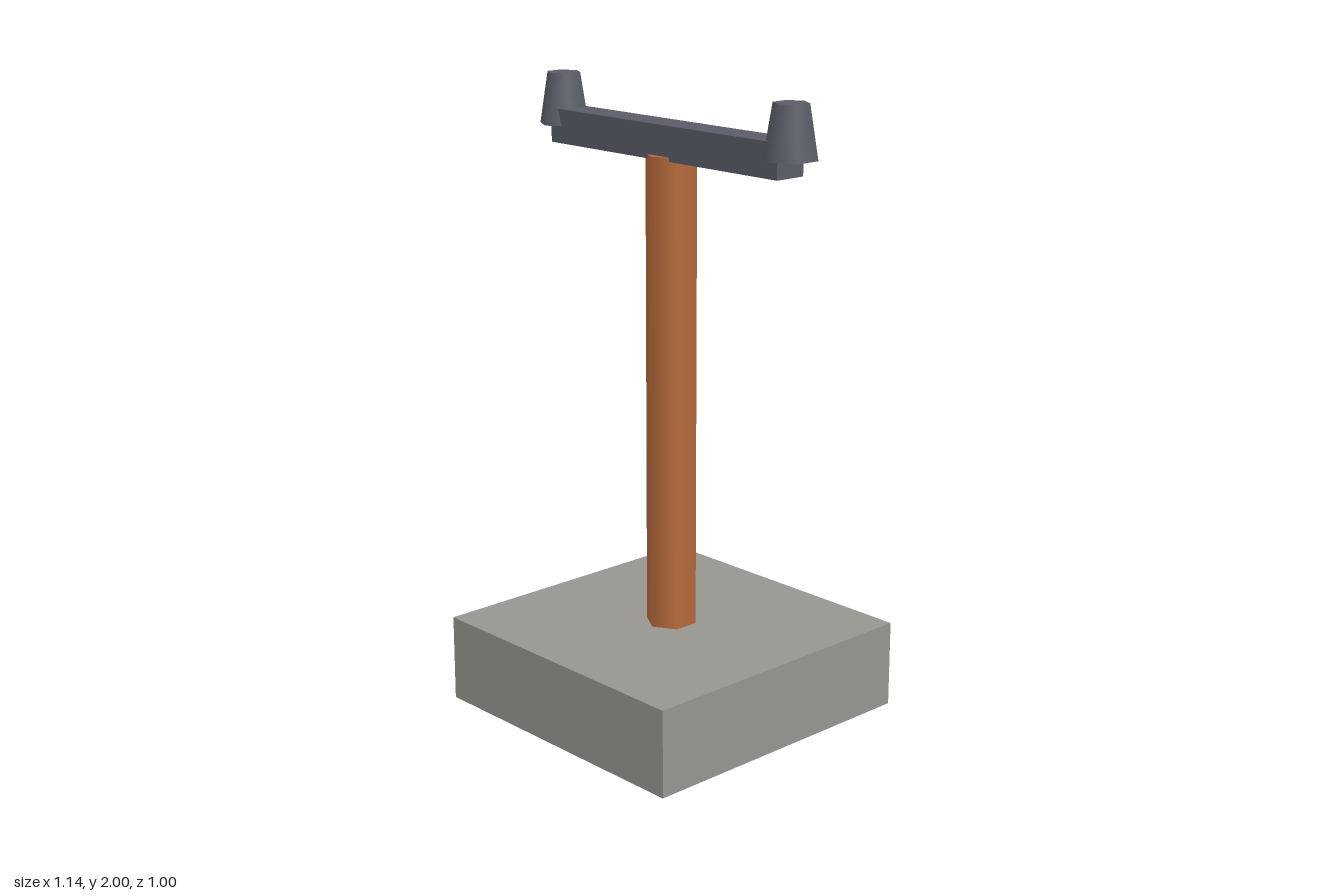
import * as THREE from 'three';

export function createModel() {
  const model = new THREE.Group();
  const stone = new THREE.MeshStandardMaterial({ color: 0x96958f });
  const copper = new THREE.MeshStandardMaterial({ color: 0xb86b3c });
  const darkMetal = new THREE.MeshStandardMaterial({ color: 0x5a5d68 });
  stone.name = 'stone grey';
  copper.name = 'copper brown';
  darkMetal.name = 'dark metal';

  const add = (name, geometry, material, x, y) => {
    const mesh = new THREE.Mesh(geometry, material);
    mesh.name = name;
    mesh.position.set(x, y, 0);
    model.add(mesh);
  };

  // Square foundation block
  add('base', new THREE.BoxGeometry(1, 0.28, 1), stone, 0, 0.14);

  // Six-sided post, its top set slightly into the crossbar
  add('post', new THREE.CylinderGeometry(0.082, 0.082, 1.52, 6), copper, 0, 1.035);

  // Crossbar
  add('crossbar', new THREE.BoxGeometry(1, 0.108, 0.108), darkMetal, 0, 1.836);

  // Tapered six-sided insulators on both ends
  for (const side of [-1, 1]) {
    add(side > 0 ? 'leftInsulator' : 'rightInsulator',
      new THREE.CylinderGeometry(0.055, 0.082, 0.164, 6), darkMetal, side * 0.5, 1.918);
  }
  return model;
}
